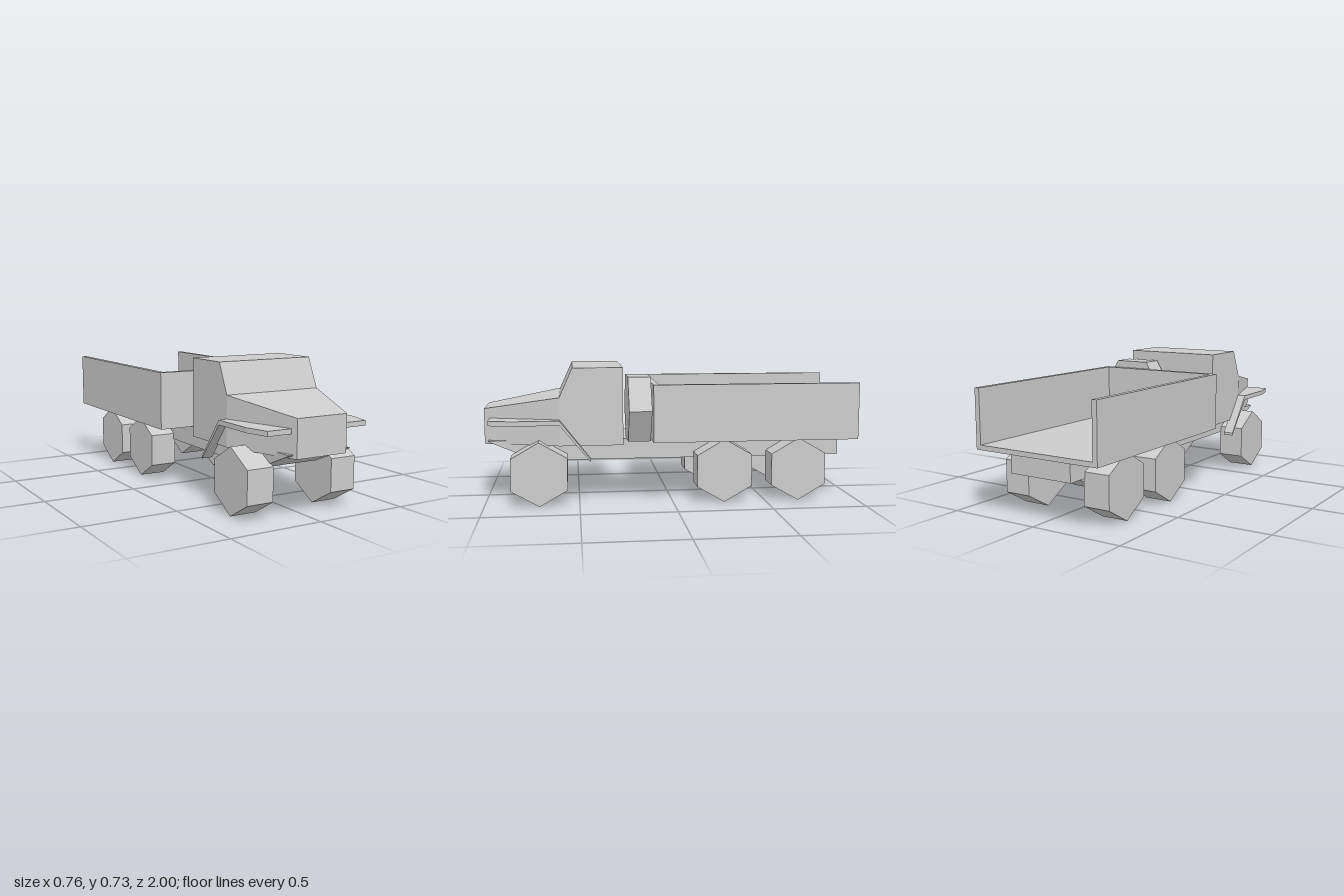
import * as THREE from 'three';

const material = new THREE.MeshStandardMaterial({ color: 0xcccccc, flatShading: true });

function addMesh(parent, name, geometry, x = 0, y = 0, z = 0) {
  const mesh = new THREE.Mesh(geometry, material);
  mesh.name = name;
  mesh.position.set(x, y, z);
  parent.add(mesh);
  return mesh;
}

// Box given by its limits
function addBox(parent, name, x0, x1, y0, y1, z0, z1) {
  return addMesh(parent, name, new THREE.BoxGeometry(x1 - x0, y1 - y0, z1 - z0),
    (x0 + x1) / 2, (y0 + y1) / 2, (z0 + z1) / 2);
}

// Closed solid through rectangular sections [z, x0, x1, y0, y1], ordered back to front
function loft(sections) {
  const positions = [];
  const rings = sections.map(([z, x0, x1, y0, y1]) =>
    [[x0, y0, z], [x1, y0, z], [x1, y1, z], [x0, y1, z]]);
  const quad = (a, b, c, d) => positions.push(...a, ...b, ...c, ...a, ...c, ...d);
  for (let s = 0; s < rings.length - 1; s++) {
    for (let i = 0; i < 4; i++) {
      const j = (i + 1) % 4;
      quad(rings[s][i], rings[s][j], rings[s + 1][j], rings[s + 1][i]);
    }
  }
  const last = rings[rings.length - 1];
  quad(...[...rings[0]].reverse());
  quad(...last);
  const geometry = new THREE.BufferGeometry();
  geometry.setAttribute('position', new THREE.Float32BufferAttribute(positions, 3));
  geometry.computeVertexNormals();
  return geometry;
}

export function createModel() {
  const truck = new THREE.Group();
  truck.name = 'truck';

  // Chassis with a sloping nose underside
  addMesh(truck, 'chassis', loft([
    [-0.94, -0.183, 0.178, 0.225, 0.335],
    [0.73, -0.183, 0.178, 0.225, 0.335],
    [0.98, -0.183, 0.178, 0.33, 0.335],
  ]));

  // Cab, windscreen and tapered bonnet
  addMesh(truck, 'cab', loft([
    [0.265, -0.275, 0.27, 0.315, 0.727],
    [0.53, -0.275, 0.27, 0.315, 0.727],
    [0.6, -0.275, 0.27, 0.315, 0.572],
    [1.0, -0.147, 0.14, 0.315, 0.505],
  ]));

  // Cargo bed, open at the top and back
  const bed = new THREE.Group();
  bed.name = 'cargoBed';
  truck.add(bed);
  addBox(bed, 'bedFloor', -0.382, 0.345, 0.335, 0.36, -1, 0.11);
  addBox(bed, 'bedSideRight', -0.382, -0.355, 0.36, 0.64, -1, 0.11);
  addBox(bed, 'bedSideLeft', 0.318, 0.345, 0.36, 0.64, -1, 0.11);
  addBox(bed, 'bedFront', -0.355, 0.318, 0.36, 0.64, 0.08, 0.11);

  // Spare wheel standing behind the cab
  const spare = new THREE.CylinderGeometry(0.198, 0.198, 0.12, 6, 1, false, Math.PI / 6);
  spare.rotateX(Math.PI / 2);
  addMesh(truck, 'spareWheel', spare, 0.182, 0.506, 0.18);

  // Six-sided road wheels
  const wheel = new THREE.CylinderGeometry(0.171, 0.171, 0.146, 6, 1, false, Math.PI / 6);
  wheel.rotateZ(Math.PI / 2);
  for (const [axle, z] of [['front', 0.71], ['middle', -0.275], ['rear', -0.68]]) {
    addMesh(truck, axle + 'WheelRight', wheel, -0.249, 0.172, z);
    addMesh(truck, axle + 'WheelLeft', wheel, 0.242, 0.172, z);
  }

  // Thin front fenders, bent down behind the wheels
  const fender = [
    [0.44, 0.26, 0.317, 0.235, 0.25],
    [0.6, 0.26, 0.317, 0.43, 0.455],
    [0.845, 0.19, 0.317, 0.43, 0.455],
    [0.97, 0.153, 0.285, 0.43, 0.455],
  ];
  addMesh(truck, 'fenderLeft', loft(fender), -0.004);
  addMesh(truck, 'fenderRight',
    loft(fender.map(([z, a, b, y0, y1]) => [z, -b, -a, y0, y1])), -0.004);

  return truck;
}
